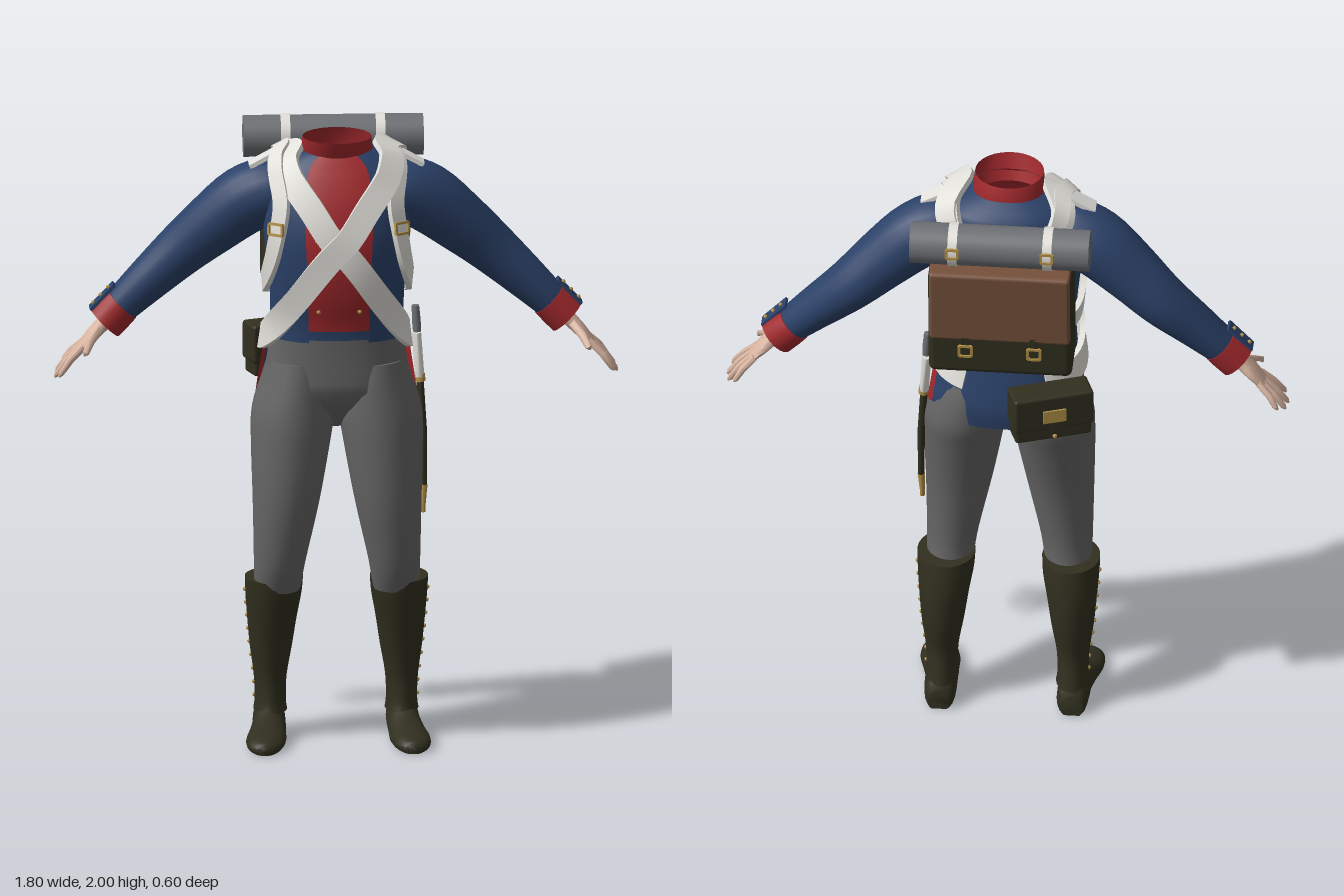
import * as THREE from 'three';
import { toCreasedNormals, mergeGeometries } from 'three/addons/utils/BufferGeometryUtils.js';
import { RoundedBoxGeometry } from 'three/addons/geometries/RoundedBoxGeometry.js';

const V = (x, y, z) => new THREE.Vector3(x, y, z);
const rad = THREE.MathUtils.degToRad;

function material(name, color, open) {
  const m = new THREE.MeshStandardMaterial({ color });
  m.name = name;
  if (open) m.side = THREE.DoubleSide;
  return m;
}

// Catmull-Rom refinement of rows of numbers
function refine(rows, n = 4) {
  const out = [], at = i => rows[Math.max(0, Math.min(rows.length - 1, i))];
  for (let i = 0; i < rows.length - 1; i++)
    for (let k = 0; k < n; k++) {
      const t = k / n;
      out.push(rows[i].map((p, j) => {
        const a = at(i - 1)[j], q = at(i + 1)[j], d = at(i + 2)[j];
        return p + 0.5 * t * (q - a + t * (2 * a - 5 * p + 4 * q - d + t * (3 * (p - q) + d - a)));
      }));
    }
  out.push(rows[rows.length - 1]);
  return out;
}

// Row at height y in rows sorted by their first number
function rowAt(rows, y) {
  let i = 0;
  while (i < rows.length - 2 && rows[i + 1][0] < y) i++;
  const a = rows[i], b = rows[i + 1], t = THREE.MathUtils.clamp((y - a[0]) / (b[0] - a[0]), 0, 1);
  return a.map((v, j) => v + (b[j] - v) * t);
}

// Skin over cross-sections; each ring turns right-handed about the direction of travel
function loft(rings, closed = true, crease = 0.9) {
  const pos = [], index = [], n = rings[0].length;
  rings.forEach(r => r.forEach(p => pos.push(p.x, p.y, p.z)));
  for (let j = 0; j < rings.length - 1; j++)
    for (let i = 0; i < (closed ? n : n - 1); i++) {
      const k = (i + 1) % n, a = j * n + i, b = j * n + k;
      index.push(a, b, b + n, a, b + n, a + n);
    }
  if (closed) {
    const e = (rings.length - 1) * n;
    for (let i = 1; i < n - 1; i++) index.push(0, i + 1, i, e, e + i, e + i + 1);
  }
  const g = new THREE.BufferGeometry();
  g.setAttribute('position', new THREE.Float32BufferAttribute(pos, 3));
  g.setIndex(index);
  return toCreasedNormals(g, crease);
}

const turn = (n, f) => Array.from({ length: n }, (_, i) => f(i / n * Math.PI * 2));

// Upright form from rows [y, centreX, radiusX, frontZ, backZ]
const column = rows => loft(rows.map(([y, cx, rx, f, b]) =>
  turn(28, t => V(cx + rx * Math.sin(t), y, (f + b) / 2 + (f - b) / 2 * Math.cos(t)))));

// Limb from rows [x, y, z, radius, radiusZ]
function limb(rows, n = 20) {
  const k = V(0, 0, 1);
  return loft(rows.map((r, i) => {
    const a = rows[Math.max(0, i - 1)], b = rows[Math.min(rows.length - 1, i + 1)];
    const v = V(b[0] - a[0], b[1] - a[1], b[2] - a[2]).normalize().cross(k).normalize();
    return turn(n, t => V(r[0], r[1], r[2]).addScaledVector(k, r[4] * Math.cos(t)).addScaledVector(v, r[3] * Math.sin(t)));
  }));
}

// Body surface rows: [y, radiusX, frontZ, backZ]
const BODY = refine([[1.13, .25, .23, -.1], [1.2, .24, .235, -.105], [1.3, .225, .235, -.085], [1.4, .214, .24, -.065],
  [1.5, .215, .265, -.07], [1.6, .225, .278, -.085], [1.7, .235, .276, -.1], [1.8, .235, .25, -.105], [1.88, .222, .212, -.1],
  [1.92, .195, .185, -.085], [1.945, .15, .17, -.05], [1.957, .115, .158, -.03]]);
const bulge = v => Math.sign(v) * Math.abs(v) ** 0.88;
function bodyPoint(deg, y, off = 0) {
  const [h, rx, f, b] = rowAt(BODY, y), a = rad(deg);
  const lift = off * THREE.MathUtils.clamp((y - 1.88) / .04, 0, 1);
  return V((rx + off) * bulge(Math.sin(a)), y + lift, (f + b) / 2 + ((f - b) / 2 + off) * bulge(Math.cos(a)));
}
function bodyNormal(deg, y) {
  const p = bodyPoint(deg, y);
  return bodyPoint(deg + 1, y).sub(p).cross(p.clone().sub(bodyPoint(deg, y - .006))).normalize();
}
// Cloth panel over part of the body
function panel(a0, a1, y0, y1, off) {
  const rings = [], n = Math.max(6, Math.round((a1 - a0) / 6));
  for (let j = 0; j <= 30; j++)
    rings.push(Array.from({ length: n + 1 }, (_, i) => bodyPoint(a0 + (a1 - a0) * i / n, y0 + (y1 - y0) * j / 30, off)));
  return loft(rings, false, 1.2);
}
// Strap along a path of [angle, y] on the body
function strap(path, width, off, flip = 1) {
  const rows = refine(path, 6), pts = rows.map(r => bodyPoint(flip * r[0], r[1], off));
  return loft(pts.map((p, i) => {
    const t = pts[Math.min(i + 1, pts.length - 1)].clone().sub(pts[Math.max(i - 1, 0)]).normalize();
    const n = bodyNormal(flip * rows[i][0], rows[i][1]), s = n.clone().cross(t).normalize().multiplyScalar(width / 2);
    const up = n.multiplyScalar(.012), low = p.clone().addScaledVector(up, -.6);
    return [low.clone().sub(s), low.clone().add(s), p.clone().add(s).add(up), p.clone().sub(s).add(up)];
  }));
}
// Copy of a geometry on the other side of the body
function mirrored(geo) {
  const g = geo.index ? geo.toNonIndexed() : geo.clone();
  g.scale(-1, 1, 1);
  for (const a of Object.values(g.attributes))
    for (let i = 0; i < a.count; i += 3)
      for (let c = 0; c < a.itemSize; c++) {
        const s = a.getComponent(i + 1, c);
        a.setComponent(i + 1, c, a.getComponent(i + 2, c));
        a.setComponent(i + 2, c, s);
      }
  return g;
}
const box = (w, h, d, x = 0, y = 0, z = 0) => new THREE.BoxGeometry(w, h, d).translate(x, y, z);
const dot = (p, r = .008) => new THREE.SphereGeometry(r, 8, 6).translate(p.x, p.y, p.z);
const frame = (w, h, x, y, z) => mergeGeometries([-1, 1].flatMap(s =>
  [box(w, .008, .008, x, y + s * h / 2, z), box(.008, h, .008, x + s * w / 2, y, z)]));
const facing = (geo, p, n) => geo.applyMatrix4(new THREE.Matrix4().compose(p,
  new THREE.Quaternion().setFromUnitVectors(V(0, 0, 1), n), V(1, 1, 1)));

export function createModel() {
  const model = new THREE.Group();
  model.name = 'uniformedFigure';
  const blue = material('navyCloth', 0x2b4168, true), red = material('redCloth', 0xa0282c, true);
  const white = material('whiteLeather', 0xe2e0da), grey = material('greyCloth', 0x656565);
  const olive = material('darkLeather', 0x302f1f), brown = material('brownHide', 0x75503a);
  const gold = material('brass', 0xb39148), skin = material('skin', 0xd9b5a2), steel = material('steel', 0x6d7074);
  const add = (name, geo, mat, parent = model) => {
    const m = new THREE.Mesh(geo, mat);
    m.name = name;
    parent.add(m);
    return m;
  };
  const pair = (name, geo, mat, parent) => {
    add(name + 'Left', geo, mat, parent);
    add(name + 'Right', mirrored(geo), mat, parent);
  };

  // Trousers
  const hips = [[1.04, .3, -.05], [1.08, .6, -.03], [1.13, .85, -.012]].map(([y, k, off]) =>
    turn(40, t => { const p = bodyPoint(t * 180 / Math.PI, 1.13, off); return V(p.x * k, y, .065 + (p.z - .065) * k); }));
  for (let y = 1.18; y < 1.41; y += .03) hips.push(turn(40, t => bodyPoint(t * 180 / Math.PI, y, -.006)));
  add('trouserSeat', loft(hips), grey);
  pair('trouserLeg', column(refine([[.5, .19, .075, .16, -.01], [.6, .183, .083, .2, 0], [.8, .163, .107, .235, -.02],
    [1, .147, .128, .24, -.07], [1.1, .138, .133, .236, -.1], [1.2, .125, .115, .226, -.1], [1.27, .12, .1, .215, -.08]])), grey);

  // Gaiters and shoes
  const gaiter = refine([[.085, .21, .054, .1, -.068], [.12, .21, .05, .092, -.06], [.2, .21, .053, .09, -.048],
    [.3, .208, .068, .11, -.062], [.4, .205, .08, .137, -.066], [.48, .201, .09, .158, -.058], [.535, .2, .093, .168, -.048]]);
  pair('gaiter', column(gaiter), olive);
  const shoe = refine([[-.071, .213, .035, .07], [-.05, .212, .048, .105], [0, .213, .052, .115], [.06, .215, .053, .108],
    [.12, .222, .058, .08], [.18, .23, .064, .06], [.24, .236, .056, .048], [.274, .237, .036, .036], [.286, .237, .012, .022]]);
  pair('shoe', loft(shoe.map(([z, cx, rx, h]) =>
    turn(24, t => V(cx + rx * Math.cos(t), Math.max(0, h * (.4 + .6 * Math.sin(t))), z)))), olive);
  pair('gaiterButtons', mergeGeometries(Array.from({ length: 9 }, (_, i) => {
    const y = .13 + i * .045, r = rowAt(gaiter, y);
    return dot(V(r[1] + r[2], y, (r[3] + r[4]) / 2), .007);
  })), gold);

  // Jacket, waistcoat, collar and tails
  add('jacketBody', panel(23, 337, 1.35, 1.957, 0), blue);
  add('waistcoat', panel(-24, 24, 1.39, 1.957, .001), red);
  add('jacketHem', panel(-24, 24, 1.36, 1.39, .001), blue);
  add('jacketTail', panel(113, 247, 1.13, 1.4, .012), blue);
  pair('tailTurnback', panel(96, 114, 1.14, 1.32, .011), red);
  const collar = [[1.915, .112, .155, -.03], [1.95, .116, .172, -.032], [2, .11, .192, -.012]].map(([y, rx, f, b]) =>
    Array.from({ length: 37 }, (_, i) => V(rx * Math.sin(i * Math.PI / 18), y, (f + b) / 2 + (f - b) / 2 * Math.cos(i * Math.PI / 18))));
  add('collar', loft(collar, false, 1.2), red);
  pair('waistcoatButtons', mergeGeometries([1.46, 1.54, 1.62, 1.7, 1.78].map(y => dot(bodyPoint(15, y, .002), .007))), gold);
  pair('backButton', dot(bodyPoint(165, 1.39, .014), .009), gold);

  // Sleeves and cuffs
  pair('sleeve', limb(refine([[.13, 1.8, .05, .085, .095], [.2, 1.81, .045, .106, .11], [.29, 1.775, .03, .11, .11],
    [.4, 1.685, .01, .098, .098], [.5, 1.595, -.01, .084, .088], [.61, 1.495, -.004, .07, .072], [.7, 1.41, .003, .058, .06]])), blue);
  pair('cuff', limb([[.683, 1.427, .002, .064, .065], [.71, 1.4, .004, .066, .066], [.74, 1.37, .006, .066, .066]]), red);

  // Hands, built along x and then turned to follow the forearm
  const wrist = new THREE.Matrix4().makeBasis(V(.69, -.724, 0), V(.724, .69, 0), V(0, 0, 1)).setPosition(.735, 1.375, .012);
  const hand = [limb(refine([[-.03, 0, 0, .03, .036], [.02, 0, 0, .024, .032], [.07, 0, .002, .02, .046], [.125, -.002, .002, .013, .044]]), 16)];
  const finger = (x, z, x1, z1, r) => hand.push(limb([[x, 0, z, r, r], [(x + x1) / 2, .002, (z + z1) / 2, r, r],
    [x1 - .012, -.004, z1, r * .8, r * .8], [x1, -.006, z1, r * .3, r * .3]], 10));
  [[-.034, -.066, .205], [-.011, -.026, .237], [.013, .018, .245], [.036, .06, .228]].forEach(([z, z1, x1]) => finger(.105, z, x1, z1, .0115));
  finger(.025, .022, .115, .105, .014);
  pair('hand', mergeGeometries(hand).applyMatrix4(wrist), skin);
  pair('cuffFlap', box(.11, .01, .05, -.05, .064, 0).applyMatrix4(wrist), blue);
  pair('cuffButtons', mergeGeometries([-.085, -.05, -.015].map(x => dot(V(x, .071, 0), .007))).applyMatrix4(wrist), gold);

  // Cross belts, knapsack straps and shoulder tabs
  const cross = [[205, 1.36], [180, 1.6], [140, 1.86], [95, 1.945], [55, 1.925], [23, 1.82], [0, 1.675], [-33, 1.5], [-70, 1.37], [-110, 1.32], [-150, 1.3]];
  add('crossBeltRight', strap(cross, .082, .016), white);
  add('crossBeltLeft', strap(cross, .082, .006, -1), white);
  const carry = [[155, 1.82], [130, 1.91], [95, 1.94], [62, 1.91], [46, 1.83], [48, 1.73], [62, 1.61], [85, 1.53], [120, 1.49], [155, 1.5]];
  pair('knapsackStrap', strap(carry, .055, .012), white);
  pair('strapBuckle', facing(frame(.055, .035, 0, 0, 0), bodyPoint(48, 1.73, .027), bodyNormal(48, 1.73)), gold);
  pair('shoulderTab', box(.12, .014, .06).rotateZ(-.5).translate(.225, 1.925, .055), white);

  // Knapsack with hide flap
  const pack = new THREE.Group();
  pack.name = 'knapsack';
  pack.position.set(0, 1.647, -.188);
  pack.rotation.x = -.075;
  model.add(pack);
  add('knapsackBody', new RoundedBoxGeometry(.46, .4, .165, 3, .022), olive, pack);
  add('knapsackFlap', new RoundedBoxGeometry(.452, .265, .03, 3, .012).translate(0, .073, -.076), brown, pack);
  add('knapsackFlapTop', new RoundedBoxGeometry(.452, .024, .15, 3, .01).translate(0, .194, -.012), brown, pack);
  pair('flapStrap', box(.026, .1, .01, .11, -.09, -.086), olive, pack);
  pair('flapBuckle', frame(.04, .04, .11, -.1, -.092), gold, pack);

  // Rolled blanket
  add('blanketRoll', new THREE.CylinderGeometry(.067, .067, .575, 32).rotateZ(Math.PI / 2).translate(.002, 1.917, -.216), steel);
  pair('rollStrap', new THREE.CylinderGeometry(.071, .071, .03, 32).rotateZ(Math.PI / 2).translate(.152, 1.917, -.216), white);
  pair('rollBuckle', frame(.036, .032, .152, 1.925, -.287), gold);

  // Cartridge pouch on the right hip
  const pouch = new THREE.Group();
  pouch.name = 'cartridgePouch';
  pouch.position.set(-.152, 1.24, -.15);
  pouch.rotation.y = rad(20);
  model.add(pouch);
  add('pouchBody', new RoundedBoxGeometry(.25, .165, .085, 2, .01), olive, pouch);
  add('pouchLid', new RoundedBoxGeometry(.262, .125, .1, 2, .01).translate(0, .024, -.002), olive, pouch);
  add('pouchPlate', box(.075, .045, .008, 0, .015, -.054), gold, pouch);
  add('pouchTab', box(.02, .06, .006, 0, -.04, -.053), olive, pouch);
  add('pouchStud', dot(V(0, -.06, -.057), .008), gold, pouch);

  // Bayonet and frog on the left hip
  add('bayonetGrip', limb([[.255, 1.41, .002, .012, .014], [.258, 1.36, .006, .014, .016], [.262, 1.29, .01, .012, .014]], 12), steel);
  add('bayonetFrog', limb([[.258, 1.325, .008, .015, .032], [.268, 1.18, .02, .015, .022]], 12), white);
  add('scabbardThroat', limb([[.268, 1.19, .02, .016, .02], [.271, 1.165, .022, .016, .02]], 12), gold);
  add('scabbard', limb([[.268, 1.18, .021, .012, .017], [.279, 1, .036, .012, .016], [.28, .82, .051, .01, .013]], 12), olive);
  add('scabbardTip', limb([[.28, .83, .05, .012, .015], [.277, .76, .056, .008, .01], [.277, .74, .058, .008, .008]], 12), gold);
  return model;
}
